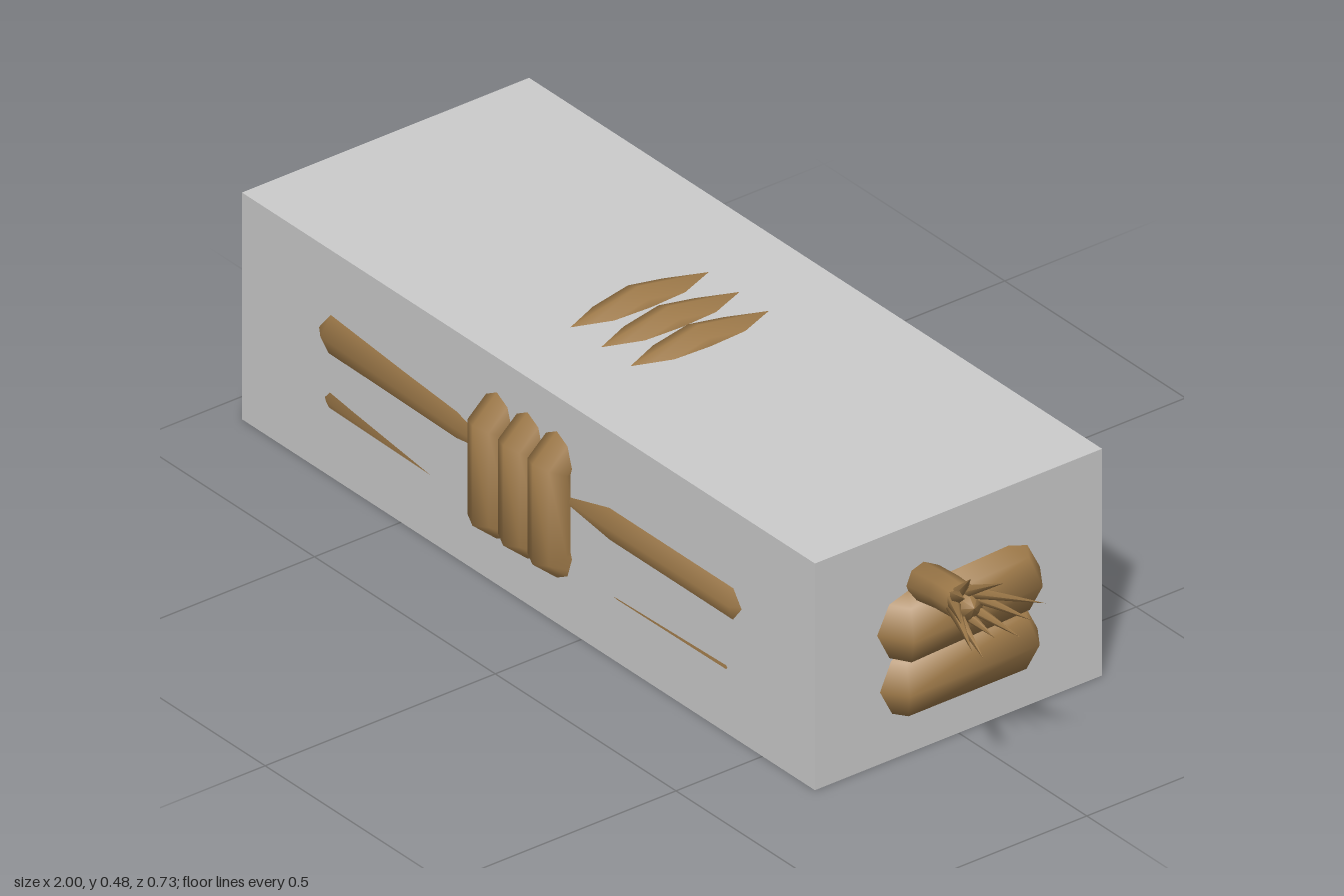
import * as THREE from 'three';

const V = (x, y, z) => new THREE.Vector3(x, y, z);

// Sweeps a faceted ring along a polyline with mitred corners; up stays across the bends.
function sweep(points, radii, up, closed, sides = 8) {
  const n = points.length, pos = [], idx = [];
  points.forEach((p, i) => {
    const prev = points[closed ? (i + n - 1) % n : Math.max(i - 1, 0)];
    const next = points[closed ? (i + 1) % n : Math.min(i + 1, n - 1)];
    const d1 = p.clone().sub(prev).normalize(), d2 = next.clone().sub(p).normalize();
    const t = d1.clone().add(d2).normalize();
    const cos = d1.lengthSq() && d2.lengthSq() ? t.dot(d2) : 1;
    const a = up.clone().addScaledVector(t, -up.dot(t)).normalize();
    const b = t.clone().cross(a);
    const r = Array.isArray(radii) ? radii[i] : radii;
    for (let j = 0; j < sides; j++) {
      const ang = (j / sides) * Math.PI * 2;
      const q = p.clone().addScaledVector(a, r * Math.cos(ang)).addScaledVector(b, r * Math.sin(ang) / cos);
      pos.push(q.x, q.y, q.z);
    }
  });
  for (let i = 0; i < (closed ? n : n - 1); i++) {
    for (let j = 0; j < sides; j++) {
      const k = (j + 1) % sides, m = (i + 1) % n;
      const A = i * sides + j, B = i * sides + k, C = m * sides + j, D = m * sides + k;
      idx.push(A, B, C, B, D, C);
    }
  }
  const g = new THREE.BufferGeometry();
  g.setAttribute('position', new THREE.Float32BufferAttribute(pos, 3));
  g.setIndex(idx);
  g.computeVertexNormals();
  return g;
}

export function createModel() {
  const model = new THREE.Group();
  const grey = new THREE.MeshStandardMaterial({ color: 0xcccccc });
  grey.name = 'blockGrey';
  const tan = new THREE.MeshStandardMaterial({ color: 0xa17c4b });
  tan.name = 'ropeTan';
  const add = (name, geometry, material, parent = model) => {
    const mesh = new THREE.Mesh(geometry, material);
    mesh.name = name;
    parent.add(mesh);
    return mesh;
  };

  // Solid block around the rope bundle
  add('block', new THREE.BoxGeometry(1.585, 0.45, 0.624), grey).position.set(-0.1475, 0.225, 0);

  // Two stacked loops of rope, pinched where the wraps hold them
  const rope = new THREE.Group();
  rope.name = 'ropeBundle';
  model.add(rope);
  const upper = [
    V(0.4, 0.265, 0.25), V(0.08, 0.265, 0.25), V(-0.15, 0.25, 0.23), V(-0.35, 0.265, 0.248), V(-0.68, 0.28, 0.253),
    V(-0.91, 0.305, 0.1), V(-0.91, 0.305, -0.1), V(-0.68, 0.28, -0.24), V(-0.4, 0.26, -0.236), V(-0.15, 0.25, -0.23),
    V(0.08, 0.265, -0.25), V(0.4, 0.265, -0.252), V(0.625, 0.265, -0.1), V(0.625, 0.255, 0.1),
  ];
  const lower = [
    V(0.38, 0.13, 0.2385), V(0.1, 0.125, 0.2375), V(-0.15, 0.13, 0.225), V(-0.4, 0.13, 0.2365), V(-0.68, 0.15, 0.243),
    V(-0.925, 0.17, 0.1), V(-0.925, 0.15, -0.1), V(-0.7, 0.15, -0.26), V(-0.35, 0.15, -0.258), V(-0.15, 0.14, -0.23),
    V(0.08, 0.14, -0.243), V(0.4, 0.145, -0.248), V(0.617, 0.145, -0.1), V(0.617, 0.145, 0.1),
  ];
  add('upperLoop', sweep(upper, 0.075, V(0, 1, 0), true), tan, rope);
  add('lowerLoop', sweep(lower, 0.075, V(0, 1, 0), true), tan, rope);

  // Three wraps around the middle
  const half = [[0, 0.433], [0.235, 0.393], [0.323, 0.315], [0.323, 0.155], [0.235, 0.08], [0, 0.045]];
  const ring = half.concat(half.slice(1, 5).reverse().map(([z, y]) => [-z, y]));
  for (const x of [-0.235, -0.15, -0.069]) {
    const path = ring.map(([z, y]) => V(x - (y > 0.42 ? 0.005 : 0), y, z));
    add('wrap', sweep(path, 0.042, V(1, 0, 0), true), tan, rope);
  }

  // Loose tail with a frayed end
  const tail = [V(0.58, 0.3, 0.06), V(0.66, 0.335, 0.08), V(0.75, 0.368, 0.108), V(0.83, 0.385, 0.125), V(0.85, 0.388, 0.127)];
  add('tail', sweep(tail, [0.036, 0.036, 0.034, 0.032, 0.001], V(0, 1, 0), false), tan, rope);
  const tips = [
    [0.93, 0.475, 0.21], [0.93, 0.475, 0.125], [1, 0.455, 0.09], [0.92, 0.42, 0.21], [0.95, 0.38, 0.21],
    [0.93, 0.342, 0.17], [0.9, 0.35, 0.12], [0.93, 0.355, 0.09], [0.96, 0.4, 0.085], [0.87, 0.465, 0.15],
  ];
  const root = V(0.81, 0.382, 0.122);
  for (const tip of tips) {
    const end = V(...tip);
    const start = root.clone();
    const out = end.clone().sub(root).setX(0).normalize();
    start.addScaledVector(out, 0.02);
    const dir = end.clone().sub(start);
    const strand = add('frayedStrand', new THREE.ConeGeometry(0.013, dir.length(), 5), tan, rope);
    strand.position.copy(start).addScaledVector(dir, 0.5);
    strand.quaternion.setFromUnitVectors(V(0, 1, 0), dir.normalize());
  }
  return model;
}
